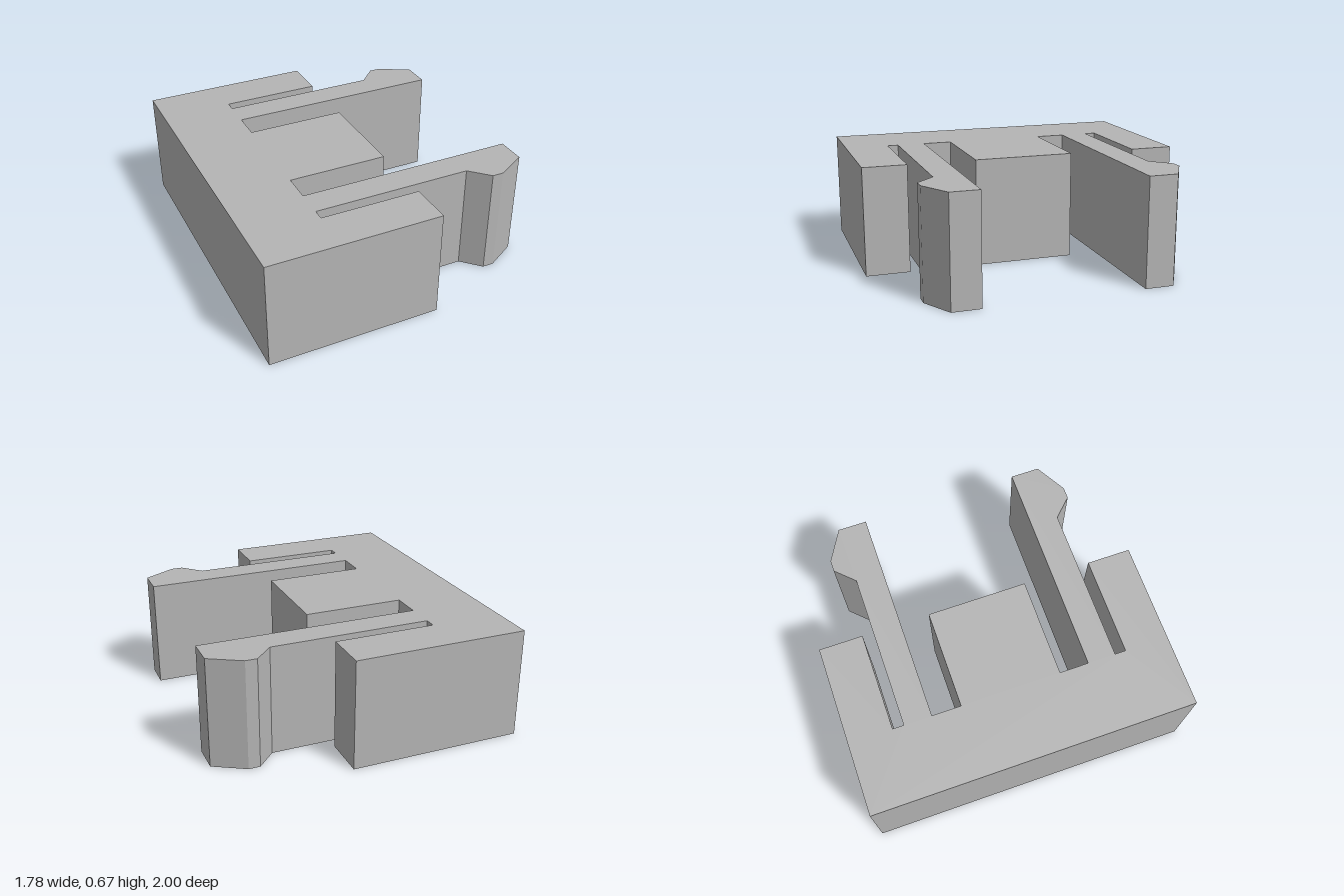
import * as THREE from 'three';

const HEIGHT = 0.667;

// Outline of one half in plan (x, distance from the centre line), from the inside out
const half = [
  [0.16, 0.31], [-0.45, 0.31],                 // side of the centre block, inner slot
  [-0.45, 0.49], [0.89, 0.49],                 // inner face of the spring arm
  [0.89, 0.667], [0.70, 0.775], [0.63, 0.775], // barbed tip
  [0.52, 0.662], [-0.45, 0.662],               // outer face of the arm
  [-0.45, 0.73], [0.16, 0.73],                 // outer slot
  [0.16, 1], [-0.89, 1],                       // outer block and back corner
];

export function createModel() {
  const grey = new THREE.MeshStandardMaterial({ color: 0xb4b4b4 });
  grey.name = 'plain grey';

  // Mirror the half to close the outline, then extrude it upwards
  const mirrored = half.map(([x, z]) => [x, -z]).reverse();
  const outline = [...half, ...mirrored].map(([x, z]) => new THREE.Vector2(x, z));
  const geometry = new THREE.ExtrudeGeometry(new THREE.Shape(outline), {
    depth: HEIGHT, bevelEnabled: false,
  });
  geometry.rotateX(-Math.PI / 2);

  const body = new THREE.Mesh(geometry, grey);
  body.name = 'clipBody';

  const model = new THREE.Group();
  model.name = 'snapFitClip';
  model.add(body);
  return model;
}
